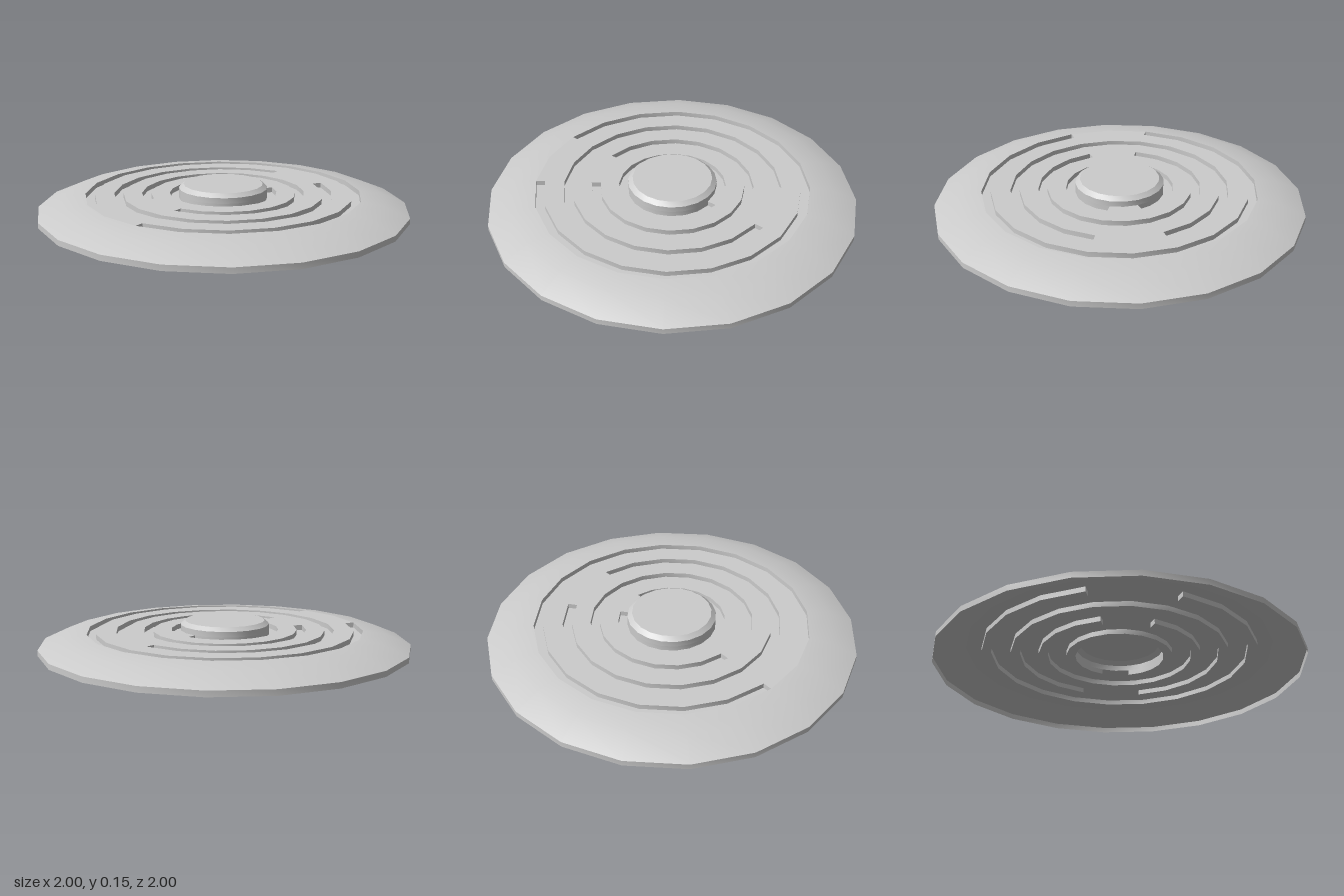
import * as THREE from 'three';
import { toCreasedNormals } from 'three/addons/utils/BufferGeometryUtils.js';

const STEP = Math.PI / 10; // 20-sided throughout
const TOP = 0.1, FLOOR = 0.073;

export function createModel() {
  const group = new THREE.Group();
  const material = new THREE.MeshStandardMaterial({ color: 0xcccccc, side: THREE.DoubleSide });

  const add = (parent, name, geometry) => {
    const mesh = new THREE.Mesh(geometry, material);
    mesh.name = name;
    parent.add(mesh);
    return mesh;
  };

  // Revolves [radius, height] pairs, listed from outside to inside so faces point up
  const turn = (parent, name, points, segments = 20, start = 0) => {
    const profile = points.map(([r, y]) => new THREE.Vector2(r, y));
    const lathe = new THREE.LatheGeometry(profile, segments, start * STEP, segments * STEP);
    return add(parent, name, toCreasedNormals(lathe, Math.PI / 6));
  };

  // Thin outer edge and domed rim, open underneath
  turn(group, 'rim', [[1, 0], [1, 0.03], [0.87, 0.083], [0.745, TOP]]);

  // Raised hub with a bevelled edge
  turn(group, 'hub', [[0.24, TOP], [0.24, 0.13], [0.215, 0.15], [0, 0.15]]);

  // Sunken C-shaped grooves, their gaps alternating between back and front
  const grooves = [[0.24, 0.29, 10], [0.39, 0.44, 0], [0.54, 0.59, 10], [0.695, 0.745, 0]];
  grooves.forEach(([inner, outer, gap], i) => {
    const groove = new THREE.Group();
    groove.name = 'groove' + (i + 1);
    group.add(groove);

    turn(groove, 'channel', [[outer, TOP], [outer, FLOOR], [inner, FLOOR], [inner, TOP]], 18, gap + 1);
    turn(groove, 'bridge', [[outer, TOP], [inner, TOP]], 2, gap - 1);

    for (const side of [-1, 1]) {
      const angle = (gap + side) * STEP, r = (inner + outer) / 2;
      const end = add(groove, 'channelEnd', new THREE.PlaneGeometry(outer - inner, TOP - FLOOR));
      end.rotation.y = angle - Math.PI / 2;
      end.position.set(r * Math.sin(angle), (TOP + FLOOR) / 2, r * Math.cos(angle));
    }

    // Flat land out to the next groove
    if (i < grooves.length - 1) turn(group, 'land' + (i + 1), [[grooves[i + 1][0], TOP], [outer, TOP]]);
  });

  return group;
}
